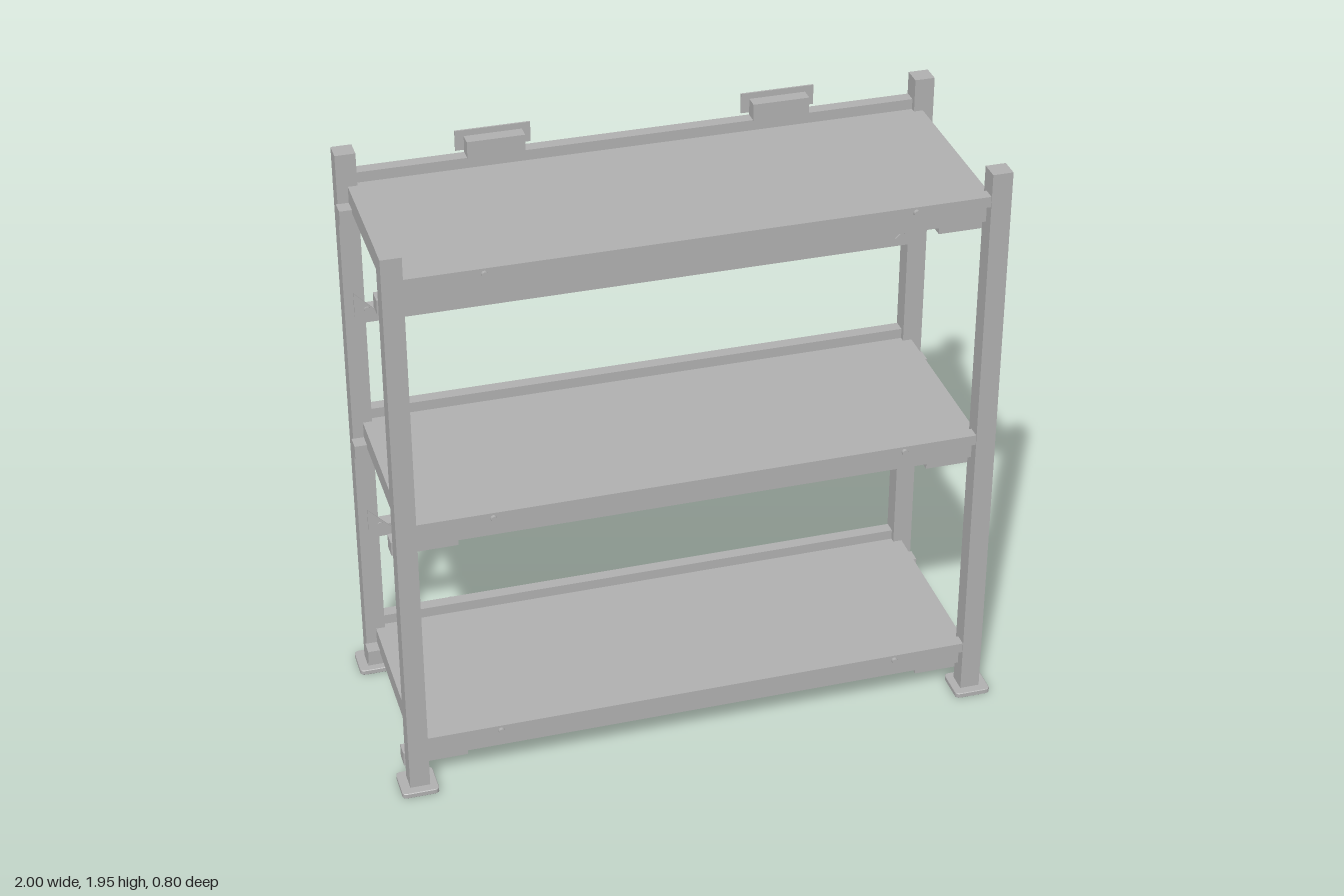
import * as THREE from 'three';

export function createModel() {
  const root = new THREE.Group();
  root.name = 'storageRack';
  const steel = new THREE.MeshStandardMaterial({ color: 0xb0b0b0 });
  steel.name = 'grey steel';

  const add = (name, geometry, x = 0, y = 0, z = 0) => {
    const mesh = new THREE.Mesh(geometry, steel);
    mesh.name = name;
    mesh.position.set(x, y, z);
    root.add(mesh);
    return mesh;
  };
  // Box given by its lower and upper limits
  const box = (name, x0, x1, y0, y1, z0, z1) =>
    add(name, new THREE.BoxGeometry(Math.abs(x1 - x0), y1 - y0, Math.abs(z1 - z0)),
      (x0 + x1) / 2, (y0 + y1) / 2, (z0 + z1) / 2);
  // Bolt with its axis along z
  const boltGeometry = new THREE.CylinderGeometry(0.01, 0.01, 0.02, 16).rotateX(Math.PI / 2);
  const bolt = (x, y, z) => add('bolt', boltGeometry, x, y, z);

  // Foot plate: rounded square with a small bevel
  const h = 0.058, r = 0.014;
  const footShape = new THREE.Shape()
    .moveTo(-h + r, -h).lineTo(h - r, -h).quadraticCurveTo(h, -h, h, -h + r)
    .lineTo(h, h - r).quadraticCurveTo(h, h, h - r, h)
    .lineTo(-h + r, h).quadraticCurveTo(-h, h, -h, h - r)
    .lineTo(-h, -h + r).quadraticCurveTo(-h, -h, -h + r, -h);
  const footGeometry = new THREE.ExtrudeGeometry(footShape, {
    depth: 0.014, bevelThickness: 0.002, bevelSize: 0.002, bevelSegments: 1, curveSegments: 4,
  }).rotateX(-Math.PI / 2);

  const sides = [-1, 1];
  const shelfTops = [0.165, 0.982, 1.835];

  // Posts and feet
  for (const sx of sides) for (const sz of sides) {
    box('post', sx * 0.905, sx * 0.97, 0.012, 1.945, sz * 0.306, sz * 0.37);
    add('foot', footGeometry, sx * 0.94, 0.002, sz * 0.34);
  }

  // Shelves, edge rails and corner brackets
  for (const top of shelfTops) {
    box('shelfPanel', -0.935, 0.935, top - 0.066, top, -0.335, 0.335);
    for (const sz of sides) {
      box('shelfRail', -0.906, 0.906, top, top + 0.035, sz * 0.325, sz * 0.367);
      for (const sx of sides) {
        bolt(sx * 0.665, top + 0.018, sz * 0.368);
        box('shelfBracket', sx * 0.765, sx * 0.975, top - 0.103, top - 0.055, sz * 0.257, sz * 0.307);
      }
    }
  }

  // Rear cross beams with triangular end plates
  for (const y of [0.535, 1.35]) {
    box('backBeam', -0.906, 0.906, y, y + 0.045, -0.355, -0.306);
    for (const sx of sides) {
      const triangle = new THREE.Shape([
        new THREE.Vector2(sx * 0.86, y + 0.03),
        new THREE.Vector2(sx * 0.94, y + 0.03),
        new THREE.Vector2(sx * 0.94, y + 0.112),
      ]);
      add('gussetPlate', new THREE.ExtrudeGeometry(triangle, { depth: 0.006, bevelEnabled: false }), 0, 0, -0.306);
      bolt(sx * 0.9, y + 0.05, -0.305);
    }
  }

  // Hanging brackets on the top rear rail
  for (const sx of sides) {
    box('hangerBlock', sx * 0.37, sx * 0.555, 1.868, 1.925, -0.366, -0.322);
    box('hangerPlate', sx * 0.343, sx * 0.583, 1.878, 1.945, -0.372, -0.366);
    for (const x of [0.385, 0.54]) bolt(sx * x, 1.903, -0.37);
  }

  return root;
}
